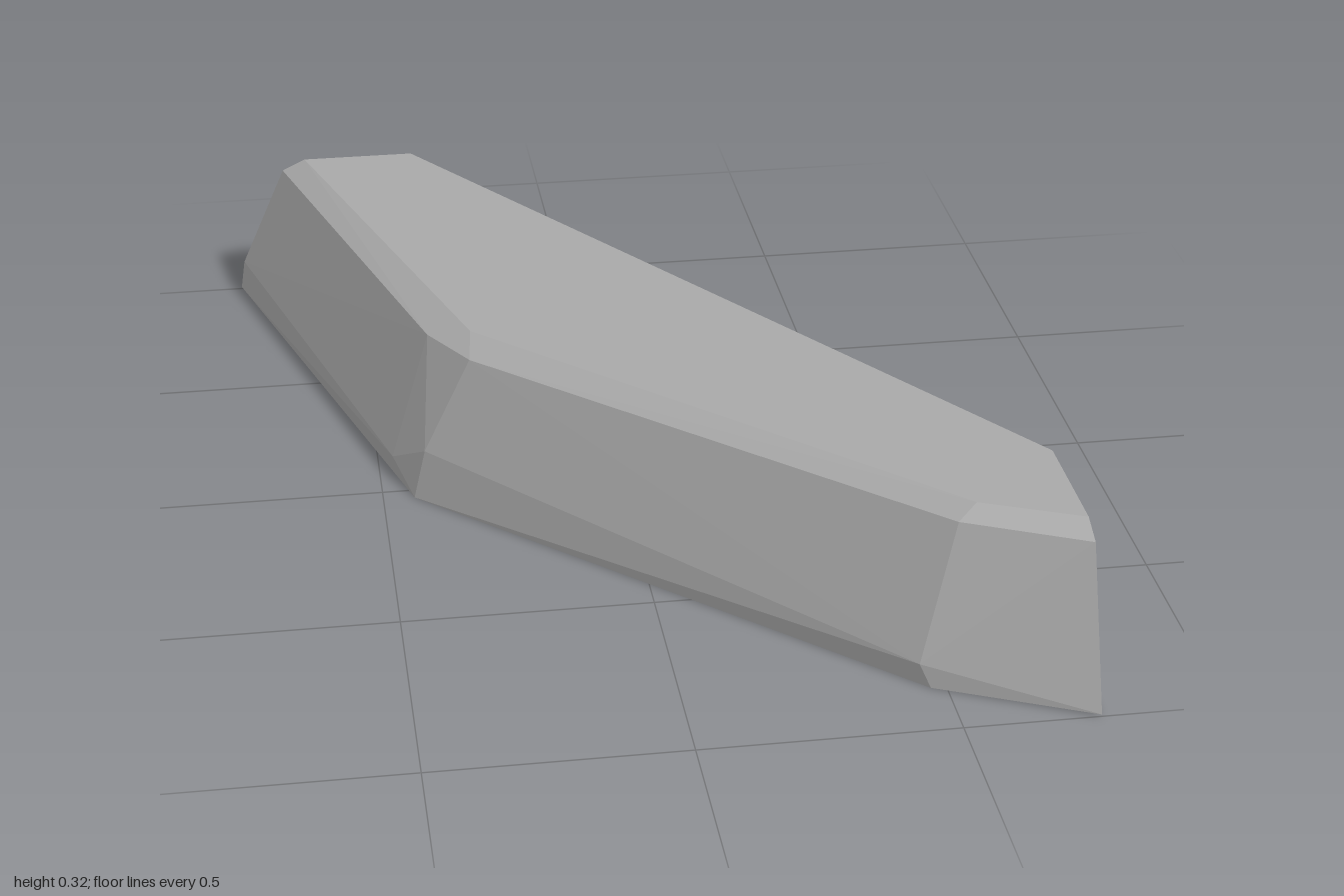
import * as THREE from 'three';
import { ConvexGeometry } from 'three/addons/geometries/ConvexGeometry.js';

export function createModel() {
  const group = new THREE.Group();
  group.name = 'rockLedge';

  const stone = new THREE.MeshStandardMaterial({ color: 0xa8a8a8 });
  stone.name = 'stoneGrey';

  // Cross-sections along the bent slab, each running from the foot up to the top
  const sections = [
    // back end, cut flat at z = -1
    [[-0.64, 0, -1], [-0.765, 0.004, -1], [-0.755, 0.07, -1], [-0.652, 0.3, -1],
      [-0.6, 0.325, -1], [-0.352, 0.325, -1]],
    // chipped outer corner
    [[-0.435, 0, 0.03], [-0.472, 0.045, -0.07], [-0.41, 0.105, 0.023],
      [-0.386, 0.297, -0.13], [-0.31, 0.3, 0], [-0.3, 0.325, -0.08]],
    // front corner
    [[0.47, 0, 0.865], [0.45, 0.045, 0.85], [0.545, 0.065, 0.875],
      [0.53, 0.302, 0.77], [0.57, 0.325, 0.742]],
    // side end, cut flat at the +x limit
    [[0.762, 0, 0.9], [0.762, 0.004, 1], [0.762, 0.302, 0.875],
      [0.762, 0.325, 0.822], [0.762, 0.325, 0.573]],
  ];

  // Faceted hull around the sections
  const points = sections.flat().map((p) => new THREE.Vector3(...p));
  const slab = new THREE.Mesh(new ConvexGeometry(points), stone);
  slab.name = 'rockSlab';
  group.add(slab);
  return group;
}
